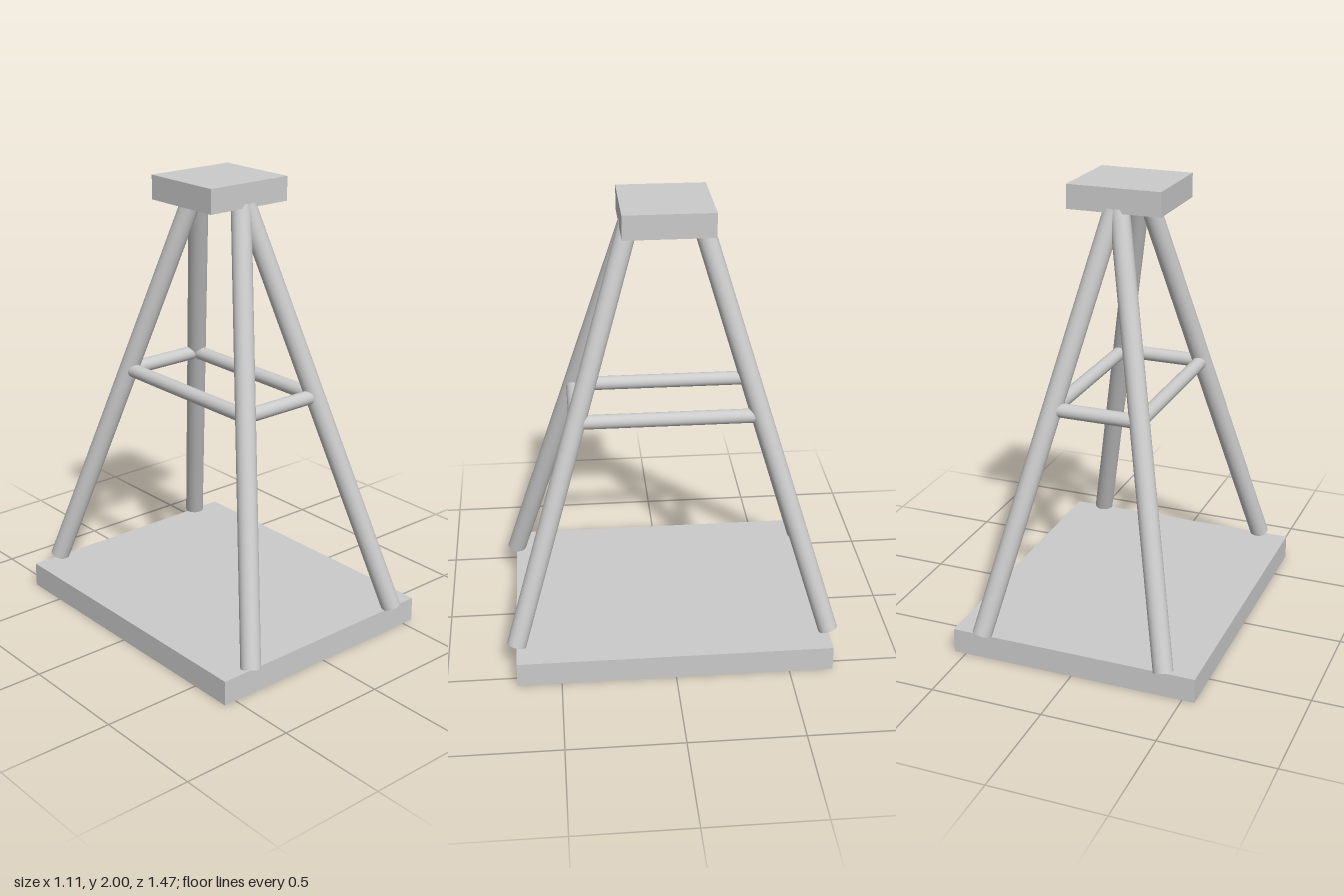
import * as THREE from 'three';

const material = new THREE.MeshStandardMaterial({ color: 0xcccccc });

function add(group, name, geometry) {
  const mesh = new THREE.Mesh(geometry, material);
  mesh.name = name;
  group.add(mesh);
  return mesh;
}

// Flat plate resting at height y
function plate(group, name, w, h, d, y) {
  add(group, name, new THREE.BoxGeometry(w, h, d)).position.y = y + h / 2;
}

// Round bar between two points
function bar(group, name, a, b, radius) {
  const axis = new THREE.Vector3().subVectors(b, a);
  const mesh = add(group, name, new THREE.CylinderGeometry(radius, radius, axis.length(), 32));
  mesh.position.addVectors(a, b).multiplyScalar(0.5);
  mesh.quaternion.setFromUnitVectors(new THREE.Vector3(0, 1, 0), axis.normalize());
}

export function createModel() {
  const group = new THREE.Group();
  group.name = 'towerStand';
  const v = (x, y, z) => new THREE.Vector3(x, y, z);

  plate(group, 'base', 1.11, 0.11, 1.386, 0);
  plate(group, 'topBlock', 0.416, 0.105, 0.386, 1.895);

  // Four splayed legs
  for (const sx of [-1, 1]) {
    for (const sz of [-1, 1]) {
      const name = (sz > 0 ? 'front' : 'back') + (sx > 0 ? 'Left' : 'Right') + 'Leg';
      bar(group, name, v(sx * 0.416, 0.117, sz * 0.692), v(sx * 0.013, 1.9, sz * 0.154), 0.043);
    }
  }

  // Ring of rails joining the legs halfway up
  const x = 0.195, y = 1.085, z = 0.398, r = 0.031;
  for (const s of [-1, 1]) {
    bar(group, s > 0 ? 'frontRail' : 'backRail', v(-x, y, s * z), v(x, y, s * z), r);
    bar(group, s > 0 ? 'leftRail' : 'rightRail', v(s * x, y, -z), v(s * x, y, z), r);
  }
  return group;
}
